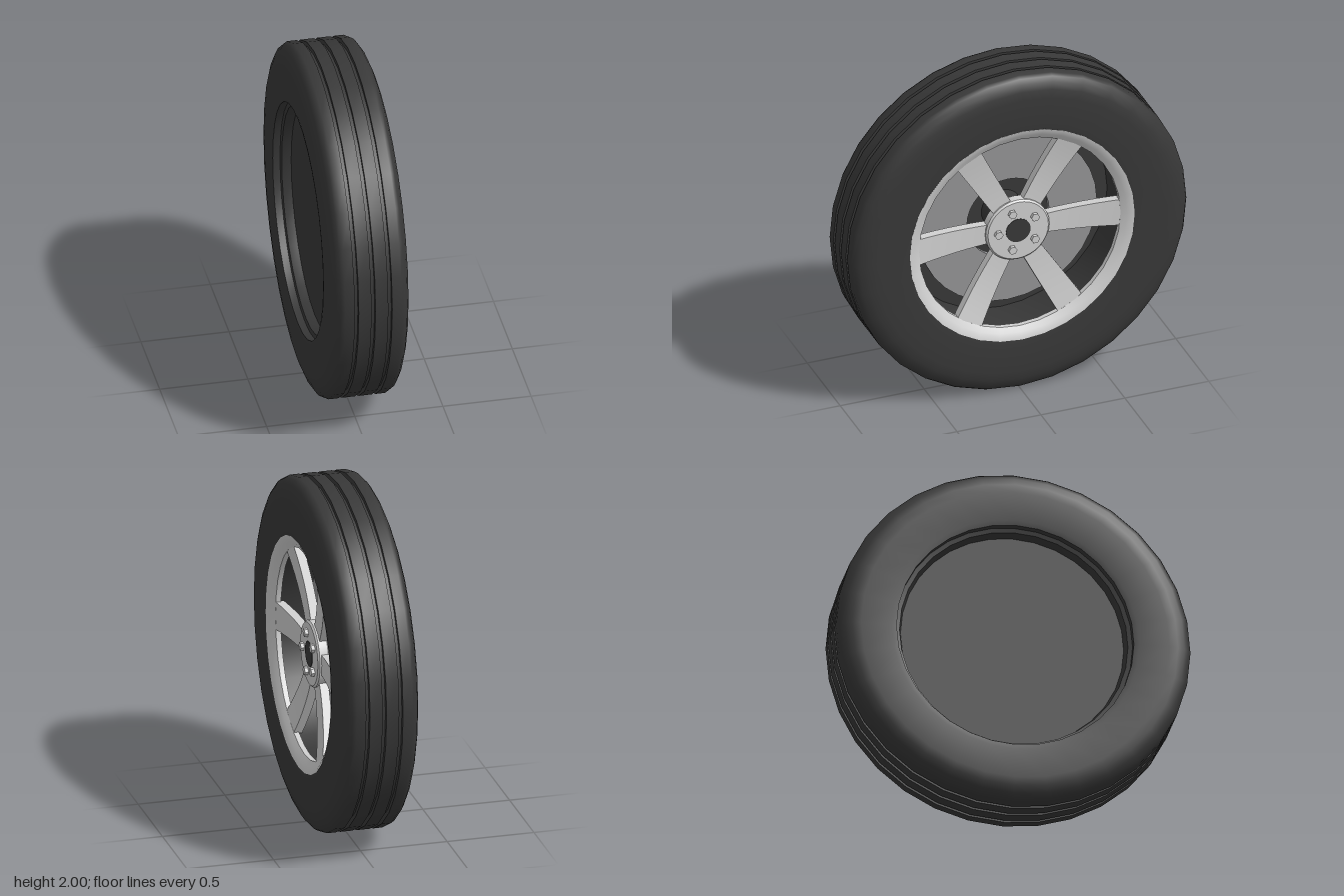
import * as THREE from 'three';
import { toCreasedNormals } from 'three/addons/utils/BufferGeometryUtils.js';

const SEGMENTS = 32;

export function createModel() {
  const rubber = new THREE.MeshStandardMaterial({ color: 0x383838 });
  rubber.name = 'dark rubber';
  const alloy = new THREE.MeshStandardMaterial({ color: 0xd0d0d0 });
  alloy.name = 'light alloy';
  const steel = new THREE.MeshStandardMaterial({ color: 0x949496 });
  steel.name = 'brake steel';

  const wheel = new THREE.Group();
  wheel.name = 'wheel';
  wheel.position.y = 1;

  function add(name, geometry, material, parent = wheel) {
    const mesh = new THREE.Mesh(geometry, material);
    mesh.name = name;
    parent.add(mesh);
    return mesh;
  }

  // Revolves [radius, x] points about the wheel's axle (the x axis)
  function revolve(points, crease = 0.6) {
    const profile = points.map(([r, x]) => new THREE.Vector2(r, x));
    const g = new THREE.LatheGeometry(profile, SEGMENTS);
    g.rotateZ(-Math.PI / 2);
    return toCreasedNormals(g, crease);
  }

  // Cylinder along x with its outer face at the given x
  function disc(radius, face, depth, sides = SEGMENTS) {
    const g = new THREE.CylinderGeometry(radius, radius, depth, sides);
    g.rotateZ(-Math.PI / 2);
    return g.translate(face - depth / 2, 0, 0);
  }

  // Tyre: rounded shoulders, three tread grooves, and the dark inner barrel
  const shoulder = [[0.67, 0.216], [0.7, 0.22], [0.87, 0.22], [0.92, 0.215], [0.96, 0.2], [0.987, 0.182], [1, 0.16]];
  const tread = [];
  for (const c of [-0.095, 0, 0.095]) {
    tread.push([1, c - 0.011], [0.975, c - 0.011], [0.975, c + 0.011], [1, c + 0.011]);
  }
  add('tyre', revolve([
    [0.63, -0.12], [0.645, -0.17], [0.67, -0.175],
    ...shoulder.map(([r, x]) => [r, -x]),
    ...tread,
    ...shoulder.slice().reverse(),
    [0.67, 0.17], [0.63, 0.165], [0.63, -0.12],
  ]), rubber);
  add('backPlate', disc(0.635, -0.1, 0.02), rubber);

  // Dished rim lip
  add('rimLip', revolve([
    [0.63, 0.15], [0.67, 0.16], [0.67, 0.217], [0.655, 0.213], [0.63, 0.2], [0.6, 0.18], [0.6, 0.15], [0.63, 0.15],
  ]), alloy);

  // Brake disc with an open centre
  add('brakeDisc', revolve([
    [0.245, -0.03], [0.53, -0.03], [0.53, 0], [0.245, 0], [0.245, -0.03],
  ]), steel);

  // Hub with a bevelled edge, dark centre cap and five hexagonal bolts
  add('hub', revolve([
    [0.001, 0.085], [0.18, 0.085], [0.19, 0.095], [0.19, 0.145], [0.18, 0.155], [0.001, 0.155],
  ], 0.4), alloy);
  add('axle', disc(0.12, 0.09, 0.19), rubber);
  add('centreCap', disc(0.073, 0.158, 0.008), rubber);
  for (let i = 0; i < 5; i++) {
    const a = (i * Math.PI * 2) / 5;
    const bolt = add('bolt', toCreasedNormals(disc(0.025, 0.175, 0.03, 6), 0.4), alloy);
    bolt.position.set(0, 0.12 * Math.sin(a), 0.12 * Math.cos(a));
  }

  // Spoke: a bar that widens outward and sweeps forward to the rim lip
  const spokeShape = new THREE.BoxGeometry(0.05, 1, 1, 1, 1, 6);
  const p = spokeShape.attributes.position;
  for (let i = 0; i < p.count; i++) {
    const t = p.getZ(i) + 0.5;
    p.setX(i, p.getX(i) + 0.11 + 0.046 * t * t);
    p.setY(i, p.getY(i) * (0.118 + 0.047 * t));
    p.setZ(i, 0.17 + 0.435 * t);
  }
  const spokeGeometry = toCreasedNormals(spokeShape, 0.5);
  for (let i = 0; i < 6; i++) {
    add('spoke', spokeGeometry, alloy).rotation.x = (i * Math.PI) / 3;
  }

  const model = new THREE.Group();
  model.name = 'carWheel';
  model.add(wheel);
  return model;
}
